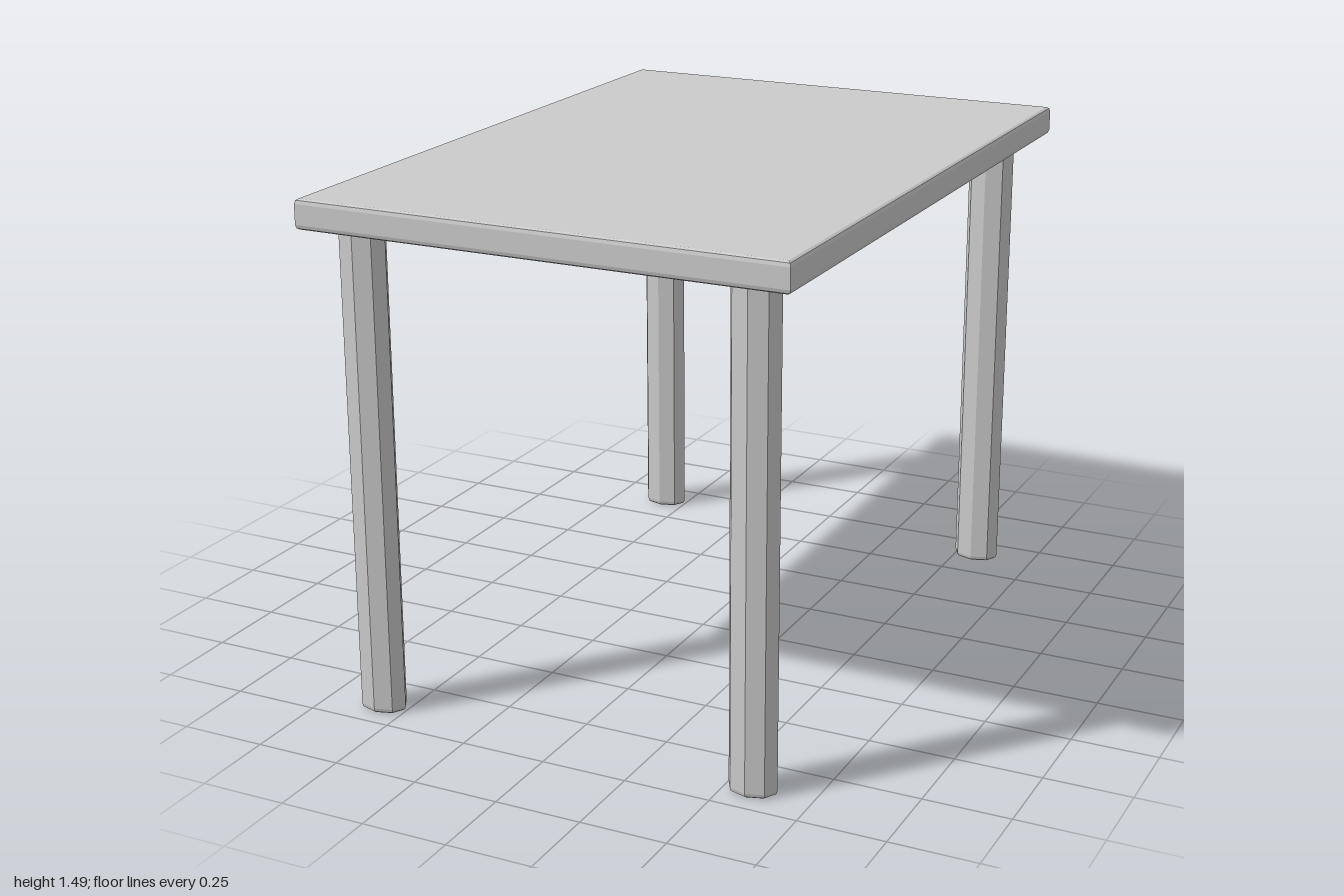
import * as THREE from 'three';

const material = new THREE.MeshStandardMaterial({ color: 0xcccccc, flatShading: true });

// Upright prism with chamfered ends, standing on y = 0
function chamferedPrism(outline, height, chamfer, inset) {
  const geometry = new THREE.ExtrudeGeometry(new THREE.Shape(outline), {
    depth: height - 2 * chamfer,
    bevelEnabled: true,
    bevelThickness: chamfer,
    bevelSize: inset,
    bevelOffset: -inset,
    bevelSegments: 2,
  });
  return geometry.translate(0, 0, chamfer).rotateX(-Math.PI / 2);
}

function addPart(parent, name, geometry, x, y, z) {
  const mesh = new THREE.Mesh(geometry, material);
  mesh.name = name;
  mesh.position.set(x, y, z);
  parent.add(mesh);
}

export function createModel() {
  const table = new THREE.Group();
  table.name = 'table';

  // Thin rectangular top with softened rims
  const w = 0.715, d = 1;
  const corners = [[-w, -d], [w, -d], [w, d], [-w, d]].map(([x, z]) => new THREE.Vector2(x, z));
  addPart(table, 'tableTop', chamferedPrism(corners, 0.085, 0.014, 0.01), 0, 1.405, 0);

  // Eight-sided legs, wider across than deep
  const octagon = [];
  for (let i = 0; i < 8; i++) {
    const a = (i * Math.PI) / 4;
    octagon.push(new THREE.Vector2(0.071 * Math.cos(a), 0.053 * Math.sin(a)));
  }
  const leg = chamferedPrism(octagon, 1.42, 0.014, 0.008);
  addPart(table, 'frontLeftLeg', leg, 0.58, 0, 0.898);
  addPart(table, 'frontRightLeg', leg, -0.573, 0, 0.898);
  addPart(table, 'backLeftLeg', leg, 0.567, 0, -0.892);
  addPart(table, 'backRightLeg', leg, -0.573, 0, -0.892);

  return table;
}
